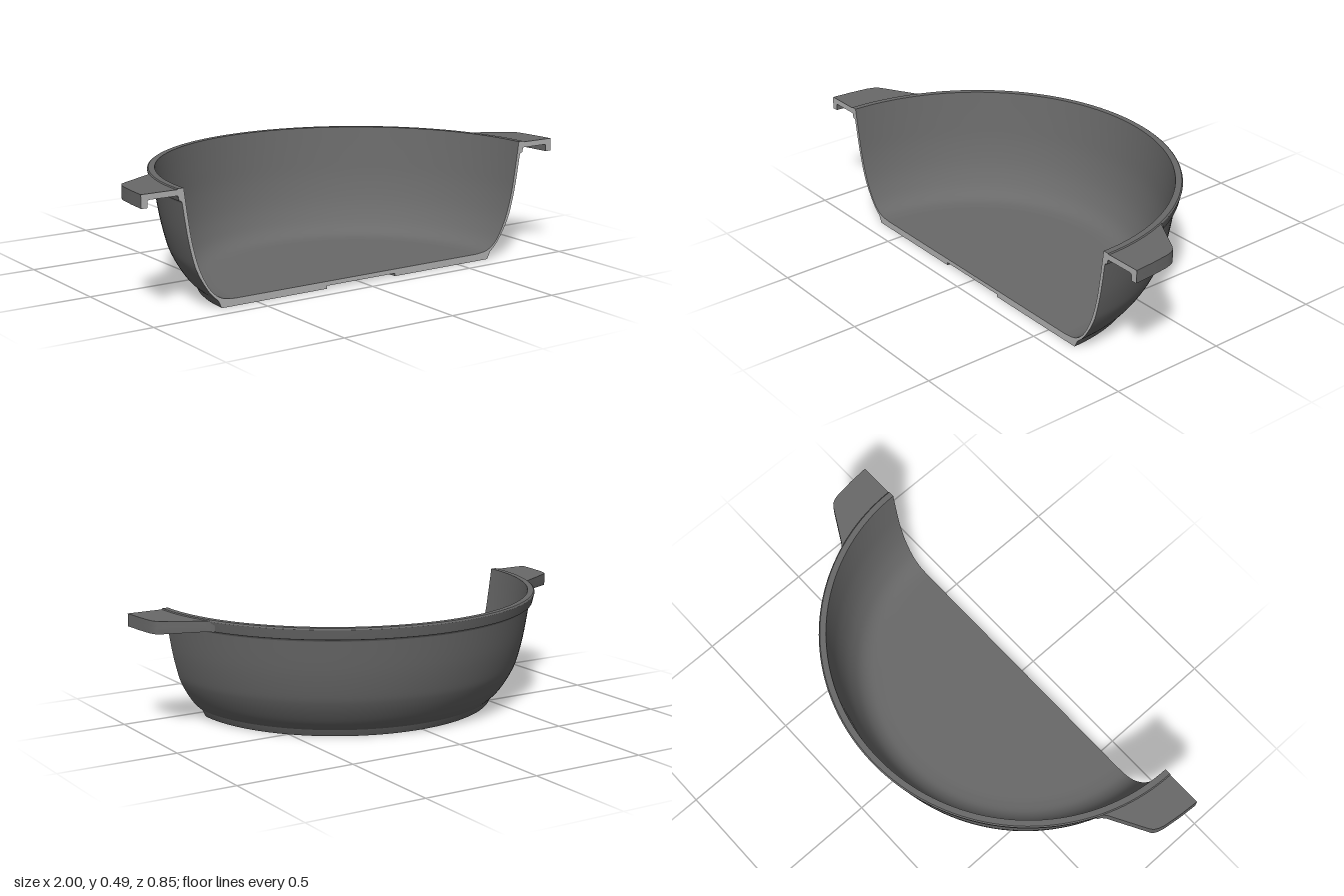
import * as THREE from 'three';
import { toCreasedNormals } from 'three/addons/utils/BufferGeometryUtils.js';

const CUT = 0.425; // z of the section plane, which holds the pan's axis
const v = (x, y) => new THREE.Vector2(x, y);
const pts = (list) => list.map(([x, y]) => v(x, y));
const smooth = (list, n) => new THREE.SplineCurve(pts(list)).getPoints(n);

export function createModel() {
  const group = new THREE.Group();
  group.name = 'halfPan';
  const mat = (name, color) => {
    const m = new THREE.MeshStandardMaterial({ color });
    m.name = name;
    return m;
  };
  const iron = mat('dark iron', 0x696969);
  const bare = mat('bare metal', 0xb4b4b4);
  const insert = mat('base insert', 0x98907a);

  const add = (name, geometry, material) => {
    const mesh = new THREE.Mesh(geometry, material);
    mesh.name = name;
    group.add(mesh);
    return mesh;
  };

  // Pan profile, split where the surface has a sharp edge
  const recess = pts([[0.17, 0.012], [0.17, 0]]);
  const base = pts([[0.17, 0], [0.658, 0]]);
  const foot = pts([[0.658, 0], [0.662, 0.004], [0.674, 0.03]]);
  const wall = smooth([[0.674, 0.03], [0.706, 0.06], [0.735, 0.1], [0.763, 0.15],
    [0.782, 0.2], [0.806, 0.3], [0.827, 0.43]], 28);
  const rimUnder = pts([[0.827, 0.43], [0.829, 0.436], [0.833, 0.439], [0.84, 0.44]]);
  const rimSide = pts([[0.84, 0.44], [0.842, 0.446], [0.849, 0.477], [0.85, 0.481]]);
  const rimEdge = pts([[0.85, 0.481], [0.849, 0.485], [0.845, 0.488]]);
  const rimTop = pts([[0.845, 0.488], [0.82, 0.488]]);
  const inside = [...smooth([[0.82, 0.488], [0.803, 0.37], [0.786, 0.27], [0.761, 0.18],
    [0.732, 0.115], [0.698, 0.066], [0.655, 0.038], [0.6, 0.03]], 32), v(0.57, 0.03), v(0, 0.03)];

  // Each band turned half way round the axis
  const bands = { recess, base, foot, wall, rimUnder, rimSide, rimEdge, rimTop, inside };
  for (const [name, profile] of Object.entries(bands)) {
    const band = new THREE.LatheGeometry(profile, 80, Math.PI / 2, Math.PI);
    add(name, band, name === 'base' ? bare : iron).position.z = CUT;
  }

  // Round insert recessed in the underside
  const disc = new THREE.CircleGeometry(0.17, 40, 0, Math.PI);
  disc.rotateX(Math.PI / 2).rotateY(Math.PI);
  add('baseInsert', disc, insert).position.set(0, 0.012, CUT);

  // Handle outlines seen from above, as x and z
  const end = CUT - 0.002;
  const edge = [[0.777, 0.088], [0.787, 0.107], [0.802, 0.12], [0.95, 0.203], [0.967, 0.216],
    [0.977, 0.235], [0.984, 0.26], [0.994, 0.34], [1, end]];
  const lipInside = [[0.974, end], [0.968, 0.34], [0.959, 0.27], [0.952, 0.25],
    [0.938, 0.232], [0.83, 0.165], [0.775, 0.13]];
  const rimArc = [];
  for (let i = 0; i <= 10; i++) {
    const a = (i / 10) * 0.39;
    rimArc.push([0.836 * Math.cos(a), end - 0.836 * Math.sin(a)]);
  }
  const slab = (outline, side, y0, y1) => {
    const shape = new THREE.Shape(outline.map(([x, z]) => v(side * x, -z)));
    const g = new THREE.ExtrudeGeometry(shape, { depth: y1 - y0, bevelEnabled: false });
    return g.rotateX(-Math.PI / 2).translate(0, y0, 0);
  };

  // The lip hangs a little lower along the grip than where it meets the rim
  const lip = (side) => {
    const g = slab([...edge, ...lipInside], side, 0.431, 0.462);
    const p = g.attributes.position;
    for (let i = 0; i < p.count; i++) {
      if (p.getY(i) < 0.44 && p.getZ(i) < 0.21) p.setY(i, 0.44);
    }
    return g;
  };

  // Flat section face through one half of the pan and its handle
  const handleCut = pts([[0.84, 0.44], [0.845, 0.461], [0.968, 0.461], [0.974, 0.456],
    [0.974, 0.431], [1, 0.431], [1, 0.48], [0.996, 0.484], [0.849, 0.484], [0.845, 0.488]]);
  const half = [v(0, 0.012), ...recess, ...foot, ...wall.slice(1),
    ...rimUnder.slice(1, -1), ...handleCut, ...inside];

  for (const [side, name] of [[1, 'left'], [-1, 'right']]) {
    add(name + 'HandleTop', toCreasedNormals(slab([...edge, ...rimArc], side, 0.461, 0.484), 0.6), iron);
    add(name + 'HandleLip', toCreasedNormals(lip(side), 0.6), iron);
    const face = new THREE.ShapeGeometry(new THREE.Shape(half.map((p) => v(side * p.x, p.y))));
    add(name + 'CutFace', face, bare).position.z = CUT;
  }
  return group;
}
